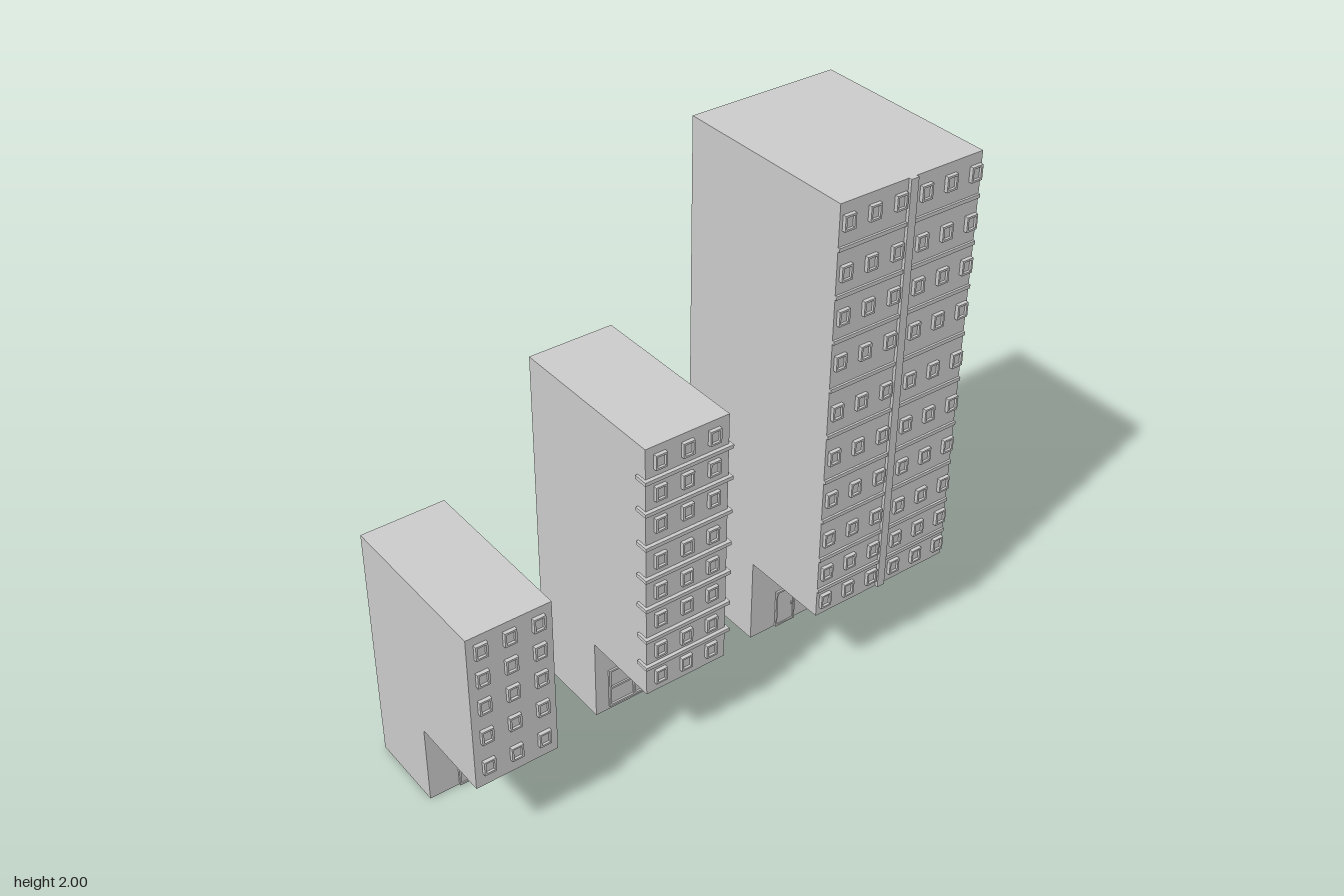
import * as THREE from 'three';

const grey = new THREE.MeshStandardMaterial({ color: 0xcccccc, flatShading: true });
const shellGrey = new THREE.MeshStandardMaterial({ color: 0xcccccc, flatShading: true, side: THREE.DoubleSide });
const GROUND_X = 0.01; // plane of the recessed ground-floor wall

const BUILDINGS = [
  {
    name: 'smallBuilding', back: -0.30, face: 0.34, z0: 0.68, z1: 0.995, top: 0.95, soffit: 0.32,
    columns: [0.945, 0.84, 0.733],
    rows: [0.89, 0.776, 0.66, 0.533, 0.40],
    doors: [0.835],
  },
  {
    name: 'middleBuilding', back: -0.33, face: 0.32, z0: -0.025, z1: 0.305, top: 1.355, soffit: 0.335,
    columns: [0.25, 0.143, 0.037],
    rows: [1.296, 1.173, 1.048, 0.90, 0.773, 0.65, 0.517, 0.40],
    ledges: [1.232, 1.107, 0.97, 0.837, 0.712, 0.579, 0.459],
    storefront: 0.14,
  },
  {
    name: 'tower', back: -0.38, face: 0.365, z0: -0.995, z1: -0.4, top: 2, soffit: 0.355,
    columns: [-0.435, -0.54, -0.648, -0.754, -0.86, -0.967],
    rows: [1.93, 1.75, 1.587, 1.416, 1.22, 1.037, 0.861, 0.69, 0.541, 0.416],
    strips: [1.84, 1.667, 1.5, 1.315, 1.13, 0.944, 0.776, 0.608, 0.47],
    pilaster: -0.695,
    doors: [-0.56, -0.845],
  },
];

function addMesh(parent, name, geometry, material = grey) {
  const mesh = new THREE.Mesh(geometry, material);
  mesh.name = name;
  parent.add(mesh);
  return mesh;
}

// Box given by its extents along each axis
function addBox(parent, name, x0, x1, y0, y1, z0, z1) {
  const mesh = addMesh(parent, name, new THREE.BoxGeometry(x1 - x0, y1 - y0, z1 - z0));
  mesh.position.set((x0 + x1) / 2, (y0 + y1) / 2, (z0 + z1) / 2);
  return mesh;
}

// Rectangular frame with a hole, facing +x
function frameGeometry(w, h, border, depth) {
  const rect = (path, a, b) => path.moveTo(-a, -b).lineTo(a, -b).lineTo(a, b).lineTo(-a, b).closePath();
  const shape = rect(new THREE.Shape(), w / 2, h / 2);
  shape.holes.push(rect(new THREE.Path(), w / 2 - border, h / 2 - border));
  return new THREE.ExtrudeGeometry(shape, { depth, bevelEnabled: false }).rotateY(Math.PI / 2);
}

const windowFrame = frameGeometry(0.045, 0.056, 0.007, 0.014);
const doorFrame = frameGeometry(0.09, 0.165, 0.007, 0.008);
const shopFrame = frameGeometry(0.22, 0.17, 0.008, 0.008);

// Thin shell, open underneath and at the back end
function addShell(group, b) {
  const profile = [[b.back, b.top], [b.face, b.top], [b.face, b.soffit], [GROUND_X, b.soffit], [GROUND_X, 0]];
  const outline = new THREE.Shape([...profile, [b.back, 0]].map(([x, y]) => new THREE.Vector2(x, y)));
  addMesh(group, 'frontSideWall', new THREE.ShapeGeometry(outline).translate(0, 0, b.z1), shellGrey);
  addMesh(group, 'rearSideWall', new THREE.ShapeGeometry(outline).scale(-1, 1, 1).rotateY(Math.PI).translate(0, 0, b.z0), shellGrey);

  const names = ['roof', 'windowWall', 'overhangUnderside', 'groundFloorWall'];
  names.forEach((name, i) => {
    const [x0, y0] = profile[i], [x1, y1] = profile[i + 1];
    const g = new THREE.BufferGeometry();
    g.setAttribute('position', new THREE.Float32BufferAttribute(
      [x0, y0, b.z1, x1, y1, b.z1, x1, y1, b.z0, x0, y0, b.z0], 3));
    g.setIndex([0, 1, 2, 0, 2, 3]);
    g.computeVertexNormals();
    addMesh(group, name, g, shellGrey);
  });
}

function addWindows(group, b) {
  for (const y of b.rows) for (const z of b.columns) {
    const win = new THREE.Group();
    win.name = 'window';
    win.position.set(b.face, y, z);
    addMesh(win, 'windowFrame', windowFrame);
    addBox(win, 'windowPane', -0.002, 0.005, -0.022, 0.022, -0.017, 0.017);
    group.add(win);
  }
}

function addDoor(group, z) {
  const door = new THREE.Group();
  door.name = 'door';
  door.position.set(GROUND_X, 0, z);
  addMesh(door, 'doorFrame', doorFrame).position.y = 0.0825;
  addBox(door, 'doorLeaf', -0.002, 0.003, 0.004, 0.16, -0.039, 0.039);
  addBox(door, 'doorHandle', 0.003, 0.008, 0.075, 0.085, -0.034, -0.028);
  group.add(door);
}

function addStorefront(group, z) {
  const shop = new THREE.Group();
  shop.name = 'storefront';
  shop.position.set(GROUND_X, 0.1, z);
  addMesh(shop, 'storefrontFrame', shopFrame);
  addBox(shop, 'mullion', 0, 0.008, -0.08, 0.08, -0.004, 0.004);
  addBox(shop, 'transom', 0, 0.007, -0.004, 0.004, -0.105, 0.105);
  group.add(shop);
}

export function createModel() {
  const model = new THREE.Group();
  model.name = 'buildings';
  for (const b of BUILDINGS) {
    const group = new THREE.Group();
    group.name = b.name;
    addShell(group, b);
    addWindows(group, b);
    for (const z of b.doors ?? []) addDoor(group, z);
    if (b.storefront) addStorefront(group, b.storefront);

    // Ledges that wrap around the corners of the window wall
    for (const y of b.ledges ?? [])
      addBox(group, 'ledge', b.face - 0.04, b.face + 0.014, y - 0.007, y + 0.007, b.z0 - 0.01, b.z1 + 0.01);

    // Floor strips on either side of the upright pilaster
    for (const y of b.strips ?? []) {
      addBox(group, 'floorStrip', b.face - 0.002, b.face + 0.008, y - 0.007, y + 0.007, b.z0, b.pilaster - 0.016);
      addBox(group, 'floorStrip', b.face - 0.002, b.face + 0.008, y - 0.007, y + 0.007, b.pilaster + 0.016, b.z1);
    }
    if (b.pilaster)
      addBox(group, 'pilaster', b.face - 0.002, b.face + 0.012, b.soffit, b.top, b.pilaster - 0.016, b.pilaster + 0.016);
    model.add(group);
  }
  return model;
}
